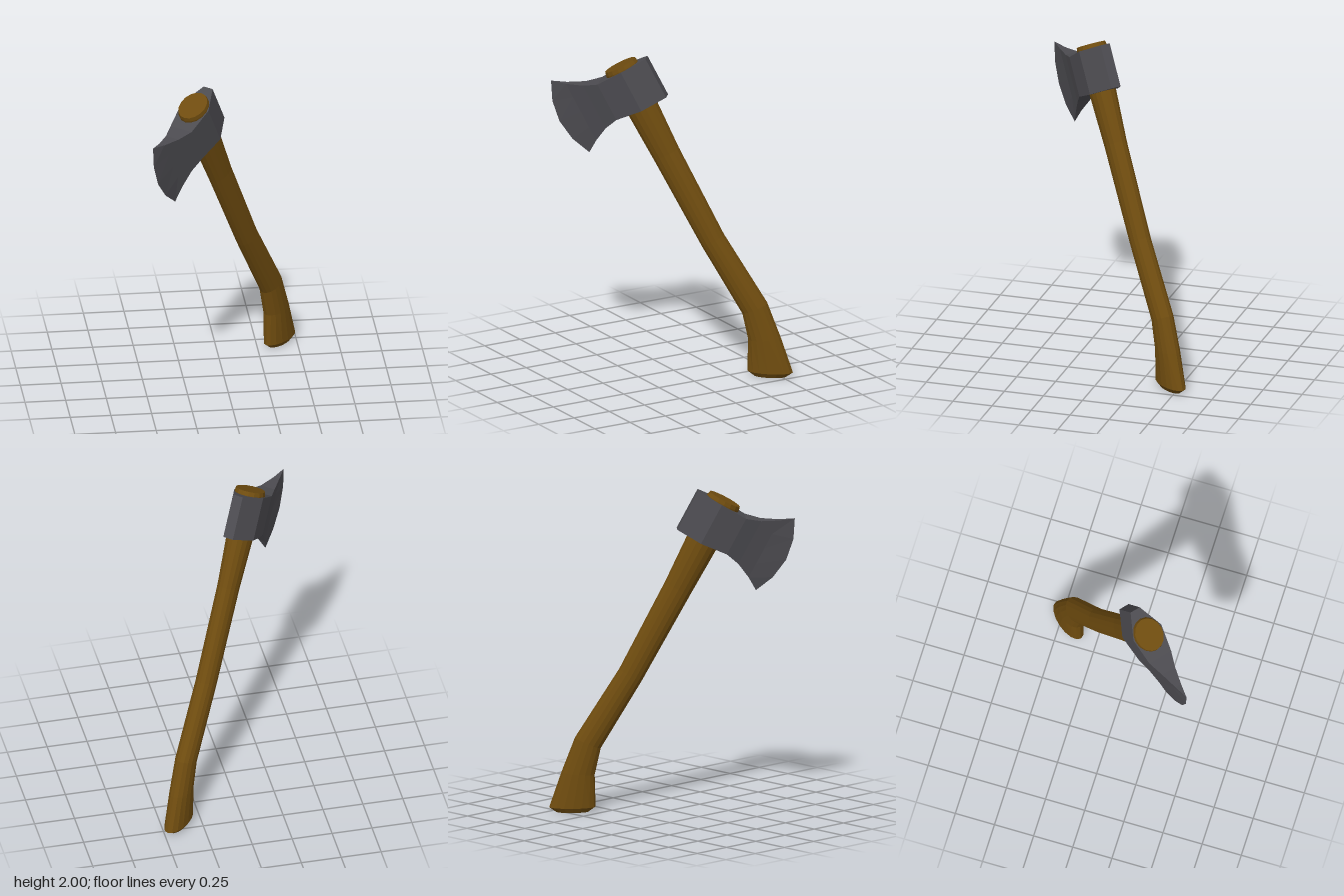
import * as THREE from 'three';

// Skin a list of closed rings (arrays of Vector3), with flat facets and optional end cap
function loft(rings, capEnd = true) {
  const pos = [];
  const tri = (...pts) => pts.forEach((p) => pos.push(p.x, p.y, p.z));
  const n = rings[0].length;
  for (let i = 0; i < rings.length - 1; i++) {
    for (let j = 0; j < n; j++) {
      const k = (j + 1) % n;
      const [a, b, c, d] = [rings[i][j], rings[i + 1][j], rings[i + 1][k], rings[i][k]];
      tri(a, b, c);
      tri(a, c, d);
    }
  }
  const cap = (ring, flip) => {
    const mid = new THREE.Vector3();
    ring.forEach((p) => mid.add(p));
    mid.divideScalar(n);
    ring.forEach((p, j) => {
      const q = ring[(j + 1) % n];
      if (flip) tri(mid, q, p);
      else tri(mid, p, q);
    });
  };
  cap(rings[0], false);
  if (capEnd) cap(rings[rings.length - 1], true);
  const geo = new THREE.BufferGeometry();
  geo.setAttribute('position', new THREE.Float32BufferAttribute(pos, 3));
  geo.computeVertexNormals();
  return geo;
}

export function createModel() {
  const wood = new THREE.MeshStandardMaterial({ color: 0x6f4c0f });
  wood.name = 'brown wood';
  const steel = new THREE.MeshStandardMaterial({ color: 0x4c4b50 });
  steel.name = 'dark steel';

  // Handle sections: centre x, centre y, half depth, half width, tilt
  const sections = [
    [-0.6, 0, 0.1, 0.045, 0],
    [-0.6, 0.03, 0.142, 0.065, 0],
    [-0.565, 0.24, 0.102, 0.065, 0.1],
    [-0.505, 0.43, 0.086, 0.063, 0.42],
    [-0.245, 0.85, 0.079, 0.063, 0.54],
    [0.045, 1.39, 0.088, 0.065, 0.5],
    [0.19, 1.67, 0.1, 0.078, 0.49],
    [0.322, 1.922, 0.11, 0.092, 0.49],
    [0.333, 1.943, 0.104, 0.087, 0.49],
  ];
  const sides = 16;
  const handleRings = sections.map(([x, y, a, b, t]) =>
    Array.from({ length: sides }, (_, j) => {
      const f = (j / sides) * Math.PI * 2;
      const r = a * Math.cos(f);
      return new THREE.Vector3(x + r * Math.cos(t), y - r * Math.sin(t), b * Math.sin(f));
    }));
  const handle = new THREE.Mesh(loft(handleRings), wood);
  handle.name = 'handle';

  // Head stations from poll to cutting edge: distance, half height, half thickness, edge bulge
  const stations = [
    [0, 0.136, 0.033, 0],
    [0.16, 0.136, 0.1, 0],
    [0.335, 0.125, 0.078, 0],
    [0.43, 0.15, 0.047, 0],
    [0.53, 0.2, 0.02, 0],
    [0.61, 0.253, 0, 0.075],
  ];
  const rows = [-1, -0.53, 0, 0.53, 1];
  const headRings = stations.map(([p, q, b, bulge]) => {
    const side = (s) => rows.map((r) =>
      new THREE.Vector3(p + bulge * (1 - r * r), q * r, s * b));
    return [...side(1), ...side(-1).reverse()];
  });
  const head = new THREE.Mesh(loft(headRings, false), steel);
  head.name = 'axeHead';
  head.position.set(0.104, 1.88, 0);
  head.rotation.z = -0.49;

  // Turn the whole axe diagonally
  const model = new THREE.Group();
  model.name = 'axe';
  model.add(handle, head);
  model.rotation.y = Math.PI + 0.855;
  const group = new THREE.Group();
  group.add(model);
  return group;
}
